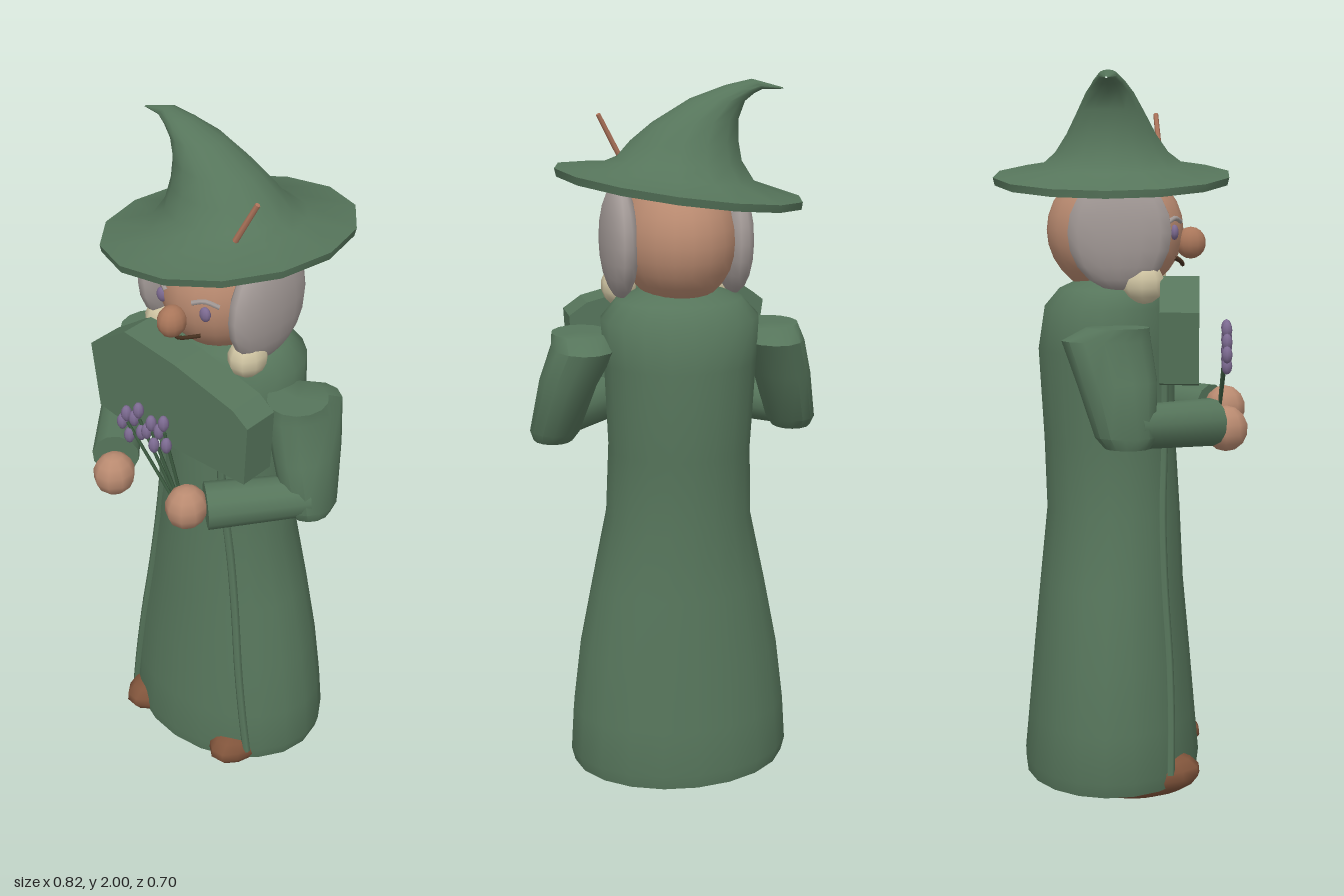
import * as THREE from 'three';
import { toCreasedNormals } from 'three/addons/utils/BufferGeometryUtils.js';

const mat = (name, color, side = THREE.FrontSide) => {
  const m = new THREE.MeshStandardMaterial({ color, side });
  m.name = name;
  return m;
};

// Skin through elliptical rings [cx, cy, cz, ux, uy, rz]; (ux, uy) is the half axis in the front plane
function loft(rings, sides, crease = 0.7, phase = 0) {
  const pos = [], idx = [];
  for (const [cx, cy, cz, ux, uy, rz] of rings) {
    for (let j = 0; j < sides; j++) {
      const a = phase + (j / sides) * Math.PI * 2;
      pos.push(cx + ux * Math.cos(a), cy + uy * Math.cos(a), cz + rz * Math.sin(a));
    }
  }
  for (let i = 0; i < rings.length - 1; i++) {
    for (let j = 0; j < sides; j++) {
      const a = i * sides + j, b = i * sides + ((j + 1) % sides);
      idx.push(a, a + sides, b, a + sides, b + sides, b);
    }
  }
  const g = new THREE.BufferGeometry();
  g.setAttribute('position', new THREE.Float32BufferAttribute(pos, 3));
  g.setIndex(idx);
  return toCreasedNormals(g, crease);
}

export function createModel() {
  const root = new THREE.Group();
  root.name = 'hattedFigure';
  const cloth = mat('green cloth', 0x56755b);
  const skin = mat('skin', 0xb98a70);
  const noseSkin = mat('ruddy skin', 0xa9765a);
  const hair = mat('grey hair', 0xa39a97);
  const cream = mat('cream beard', 0xcfc4a2);
  const leather = mat('brown leather', 0x80543b);
  const lavender = mat('lavender', 0x7d6b92);
  const stemGreen = mat('stem green', 0x3c5a40);
  const dark = mat('dark brown', 0x46301f);
  const twig = mat('twig', 0xb0765c);

  const add = (name, geo, material, parent = root) => {
    const m = new THREE.Mesh(geo, material);
    m.name = name;
    parent.add(m);
    return m;
  };
  const ball = (name, material, p, r, w = 12, h = 9, parent = root) => {
    const m = add(name, new THREE.SphereGeometry(1, w, h), material, parent);
    m.position.set(...p);
    m.scale.set(...r);
    return m;
  };
  const rod = (name, material, a, b, ra, rb, sides = 6) => {
    const A = new THREE.Vector3(...a), B = new THREE.Vector3(...b), d = B.clone().sub(A);
    const m = add(name, new THREE.CylinderGeometry(rb, ra, d.length(), sides), material);
    m.position.copy(A).add(B).multiplyScalar(0.5);
    m.quaternion.setFromUnitVectors(new THREE.Vector3(0, 1, 0), d.normalize());
    return m;
  };
  const tube = (name, material, pts, r, segs = 10) => add(name, new THREE.TubeGeometry(
    new THREE.CatmullRomCurve3(pts.map(p => new THREE.Vector3(...p))), segs, r, 6), material);

  // Robe: [y, half width, half depth, centre z]
  const robe = [
    [0.05, 0.31, 0.245, -0.03], [0.09, 0.32, 0.25, -0.03], [0.22, 0.312, 0.238, -0.03],
    [0.4, 0.29, 0.222, -0.03], [0.6, 0.25, 0.203, -0.03], [0.8, 0.207, 0.188, -0.025],
    [1.0, 0.2, 0.185, -0.035], [1.25, 0.212, 0.19, -0.045], [1.37, 0.22, 0.172, -0.045],
    [1.42, 0.175, 0.14, -0.035], [1.45, 0.09, 0.08, -0.03],
  ];
  add('robe', loft([[0, 0.05, -0.03, 0, 0, 0],
    ...robe.map(([y, rx, rz, cz]) => [0, y, cz, rx, 0, rz]),
    [0, 1.46, -0.03, 0, 0, 0]], 20, 0.9), cloth);

  // Raised front edges of the robe, laid on its surface
  for (const s of [-1, 1]) {
    const pts = robe.slice(1, 8).map(([y, rx, rz, cz]) => {
      const x = 0.23 - 0.125 * Math.min(1, (y - 0.09) / 0.95);
      return [s * x, y, cz + rz * Math.sqrt(1 - (x / rx) ** 2)];
    });
    tube('robeEdge', cloth, pts, 0.012, 18);
  }

  // Stiff chest panel
  const panel = new THREE.Shape([
    [-0.255, 1.18], [-0.2, 1.17], [0.0, 1.165], [0.27, 1.17], [0.28, 1.35],
    [0.23, 1.385], [0.03, 1.435], [-0.15, 1.46], [-0.28, 1.37],
  ].map(p => new THREE.Vector2(...p)));
  add('chestPanel', new THREE.ExtrudeGeometry(panel, { depth: 0.105, bevelEnabled: false }), cloth)
    .position.z = 0.11;

  // Arms, hands and shoes
  for (const s of [-1, 1]) {
    add('upperSleeve', loft([
      [0.345, 1.02, 0.03, 0, 0, 0], [0.345, 1.02, 0.03, 0.055, 0, 0.06],
      [0.34, 1.05, 0.025, 0.07, 0, 0.082], [0.305, 1.19, 0, 0.08, 0, 0.108],
      [0.265, 1.295, -0.03, 0.09, 0, 0.12], [0.268, 1.33, 0, 0.08, 0, 0.085],
      [0.268, 1.33, 0, 0, 0, 0],
    ].map(([x, ...r]) => [s * x, ...r]), 14), cloth);
    rod('foreSleeve', cloth, [s * 0.345, 1.075, 0.04], [s * 0.168, 1.067, 0.25], 0.058, 0.065, 12);
    ball('hand', skin, [s * 0.135, s < 0 ? 1.045 : 1.07, 0.29], [0.057, 0.063, 0.06], 9, 7);
    ball('shoe', leather, [s * 0.158, 0.072, 0.045], [0.085, 0.072, 0.185], 14, 9)
      .rotation.set(-0.1, s * 0.12, 0);
  }

  // Head and face
  ball('head', skin, [0, 1.58, -0.02], [0.16, 0.18, 0.19], 20, 14);
  ball('nose', noseSkin, [0, 1.545, 0.19], [0.037, 0.044, 0.042], 12, 9);
  tube('moustache', dark, [[-0.06, 1.505, 0.145], [-0.03, 1.495, 0.162], [0, 1.485, 0.168],
    [0.03, 1.495, 0.162], [0.06, 1.505, 0.145]], 0.006);
  for (const s of [-1, 1]) {
    ball('eye', lavender, [s * 0.075, 1.575, 0.146], [0.017, 0.021, 0.012], 10, 7);
    tube('brow', hair, [[s * 0.105, 1.598, 0.125], [s * 0.075, 1.613, 0.147],
      [s * 0.045, 1.604, 0.162]], 0.007, 6);
    ball('sideHair', hair, [s * 0.158, 1.575, 0], [0.05, 0.155, 0.143], 14, 10);
    ball('beardTuft', cream, [s * 0.148, 1.44, 0.062], [0.05, 0.057, 0.06], 9, 7);
  }

  // Bent hat, each ring given by its outermost points: [xL, yL, xR, yR, rz]
  const hat = [
    [0, 1.73, 0, 1.73, 0], [-0.15, 1.705, 0.15, 1.745, 0.15],
    [-0.335, 1.665, 0.33, 1.758, 0.325], [-0.338, 1.685, 0.335, 1.78, 0.33],
    [-0.21, 1.73, 0.21, 1.785, 0.2], [-0.175, 1.785, 0.17, 1.8, 0.158],
    [-0.165, 1.84, 0.135, 1.84, 0.125], [-0.165, 1.9, 0.075, 1.888, 0.095],
    [-0.182, 1.945, -0.03, 1.95, 0.065], [-0.205, 1.962, -0.13, 1.985, 0.042],
    [-0.228, 1.972, -0.2, 2.0, 0.025], [-0.288, 1.972, -0.286, 1.976, 0.003],
  ];
  add('hat', loft(hat.map(([xl, yl, xr, yr, rz]) =>
    [(xl + xr) / 2, (yl + yr) / 2, -0.028, (xr - xl) / 2, (yr - yl) / 2, rz]), 14, 1.1), cloth);
  rod('hatTwig', twig, [0.135, 1.79, 0.1], [0.195, 1.905, 0.087], 0.008, 0.007);

  // Lavender sprigs gathered in the hand
  const tops = [[-0.075, 1.275], [-0.03, 1.305], [0.015, 1.285], [0.06, 1.305]];
  tops.forEach(([x, y], i) => {
    rod('stem', stemGreen, [0.085 + i * 0.008, 1.03, 0.27], [x, y - 0.03, 0.29], 0.005, 0.005, 5);
    for (let k = 0; k < 3; k++) {
      ball('blossom', lavender, [x + (k % 2 ? -0.017 : 0.004 * k), y - k * 0.033, 0.292],
        [0.015, 0.024, 0.015], 8, 6);
    }
  });

  return root;
}
